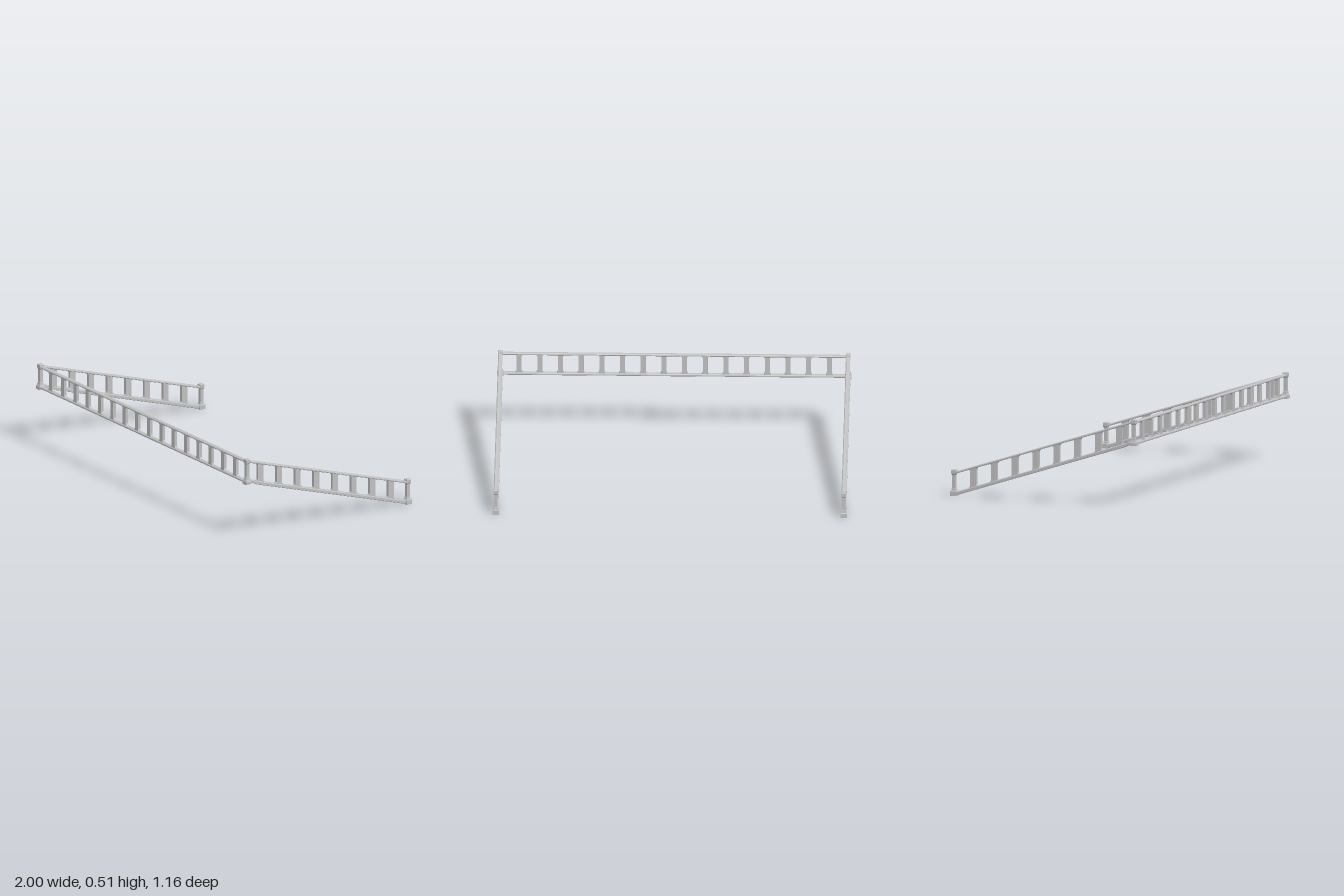
import * as THREE from 'three';

const HALF_X = 0.9815, HALF_Z = 0.563;

export function createModel() {
  const model = new THREE.Group();
  model.name = 'railing';
  const stone = new THREE.MeshStandardMaterial({ color: 0xc0c0c0 });
  stone.name = 'light grey';
  stone.flatShading = true;

  const add = (parent, name, geometry) => {
    const mesh = new THREE.Mesh(geometry, stone);
    mesh.name = name;
    parent.add(mesh);
    return mesh;
  };

  // Slants a geometry: y rises by slope for every unit along x from x0
  const shear = (geometry, x0, slope) => {
    const p = geometry.attributes.position;
    for (let i = 0; i < p.count; i++) p.setY(i, p.getY(i) + slope * (p.getX(i) - x0));
    geometry.computeVertexNormals();
    return geometry;
  };

  // Chamfered bar along x, with its underside at y at x0
  const rail = (parent, name, x0, x1, y, slope, w, h, c) => {
    const a = w / 2;
    const section = new THREE.Shape([
      [-a + c / 2, 0], [a - c / 2, 0], [a, c / 2], [a, h - c], [a - c, h], [-a + c, h], [-a, h - c], [-a, c / 2],
    ].map(([u, v]) => new THREE.Vector2(u, v)));
    const g = new THREE.ExtrudeGeometry(section, { depth: x1 - x0, bevelEnabled: false });
    g.rotateY(Math.PI / 2).translate(x0, y, 0);
    add(parent, name, shear(g, x0, slope));
  };

  // Flat baluster with flared foot and head, slanted to follow the rails
  const baluster = (parent, x, y0, y1, slope, w, d) => {
    const a = w / 2, f = 0.006;
    const half = [[a + f, y0], [a + f, y0 + 0.004], [a + 0.002, y0 + 0.009], [a, y0 + 0.014],
      [a, y1 - 0.012], [a + 0.002, y1 - 0.008], [a + f, y1 - 0.004], [a + f, y1]];
    const outline = [...half, ...half.map(([u, v]) => [-u, v]).reverse()];
    const g = new THREE.ExtrudeGeometry(
      new THREE.Shape(outline.map(([u, v]) => new THREE.Vector2(u, v))), { depth: d, bevelEnabled: false });
    g.translate(x, 0, -d / 2);
    add(parent, 'baluster', shear(g, x, slope));
  };

  // Square post with a stepped base and a cap
  const post = (name, x, y, z, baseHeight, neckHeight) => {
    const profile = [[0, 0], [0.0185, 0], [0.0185, baseHeight], [0.0125, neckHeight], [0.0115, neckHeight + 0.01],
      [0.0095, neckHeight + 0.012], [0.0095, 0.119], [0.0125, 0.124], [0.0135, 0.128], [0.0135, 0.145],
      [0.011, 0.149], [0, 0.149]];
    const g = new THREE.LatheGeometry(
      profile.map(([r, h]) => new THREE.Vector2(r * Math.SQRT2, h)), 4, Math.PI / 4);
    add(model, name, g).position.set(x, y, z);
  };

  // Level front panel
  const front = new THREE.Group();
  front.name = 'frontPanel';
  front.position.z = HALF_Z;
  rail(front, 'topRail', -HALF_X, HALF_X, 0.488, 0, 0.025, 0.012, 0.005);
  rail(front, 'bottomRail', -HALF_X, HALF_X, 0.366, 0, 0.027, 0.014, 0.005);
  for (let i = 0; i < 16; i++) baluster(front, (i - 7.5) * 0.1167, 0.377, 0.491, 0, 0.028, 0.018);
  model.add(front);

  // Sloping side panels, local x running towards the back
  for (const side of [-1, 1]) {
    const panel = new THREE.Group();
    panel.name = side > 0 ? 'leftPanel' : 'rightPanel';
    panel.position.x = side * HALF_X;
    panel.rotation.y = Math.PI / 2;
    const slope = -0.326;
    const topAt = (s) => 0.4855 + slope * (s + 0.55);
    const bottomAt = (s) => 0.345 + slope * (s + 0.5);
    rail(panel, 'topRail', -HALF_Z, HALF_Z, topAt(-HALF_Z), slope, 0.025, 0.0125, 0.005);
    rail(panel, 'bottomRailBend', -HALF_Z, -0.5, 0.376, -0.49, 0.027, 0.02, 0.005);
    rail(panel, 'bottomRail', -0.5, 0.555, bottomAt(-0.5), slope, 0.027, 0.021, 0.005);
    for (let i = 0; i < 8; i++) {
      const s = -0.473 + i * 0.1307;
      baluster(panel, s, bottomAt(s) + 0.017, topAt(s) + 0.003, slope, 0.037, 0.018);
    }
    model.add(panel);
    post('frontPost', side * HALF_X, 0.36, HALF_Z, 0.016, 0.03);
    post('backPost', side * HALF_X, 0, -HALF_Z, 0.026, 0.03);
  }
  return model;
}
